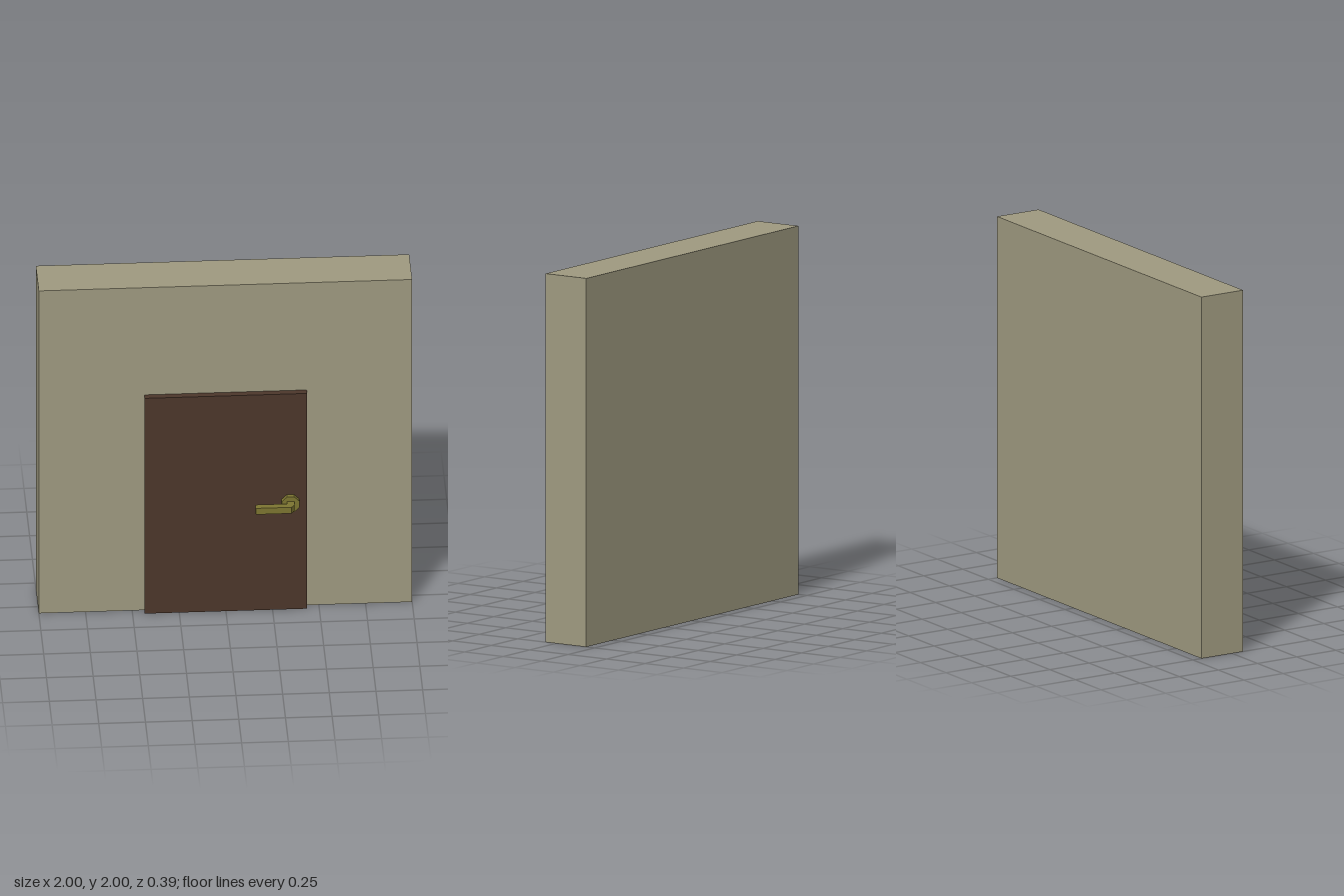
import * as THREE from 'three';

const material = (color) => new THREE.MeshStandardMaterial({ color, flatShading: true });

function addMesh(parent, name, geometry, mat, x, y, z) {
  const mesh = new THREE.Mesh(geometry, mat);
  mesh.name = name;
  mesh.position.set(x, y, z);
  parent.add(mesh);
  return mesh;
}

export function createModel() {
  const model = new THREE.Group();
  model.name = 'doorInWall';
  const brass = material(0x7d7531);

  // Wall slab and the door leaf on its front
  addMesh(model, 'wall', new THREE.BoxGeometry(2, 2, 0.265), material(0x9f9a80), 0, 1, -0.0625);
  addMesh(model, 'door', new THREE.BoxGeometry(0.87, 1.335, 0.037), material(0x4c372b), 0, 0.6675, 0.0885);

  const handle = new THREE.Group();
  handle.name = 'handle';
  handle.position.set(0.345, 0.663, 0.107);
  model.add(handle);

  // Octagonal plate, flats to the sides
  const plate = new THREE.CylinderGeometry(0.051, 0.051, 0.025, 8);
  plate.rotateY(Math.PI / 8).rotateX(Math.PI / 2);
  addMesh(handle, 'handlePlate', plate, brass, 0, 0, 0.0125);

  // Bent lever: plan outline (x, z) with a chamfered elbow, extruded in height
  const outline = [[-0.02, 0], [0.02, 0], [0.02, 0.059], [0.002, 0.086], [-0.19, 0.086], [-0.19, 0.048], [-0.02, 0.048]];
  const shape = new THREE.Shape(outline.map(([x, z]) => new THREE.Vector2(x, -z)));
  const lever = new THREE.ExtrudeGeometry(shape, { depth: 0.038, bevelEnabled: false });
  lever.translate(0, 0, -0.019).rotateX(-Math.PI / 2);
  addMesh(handle, 'handleLever', lever, brass, 0, 0, 0);

  return model;
}
